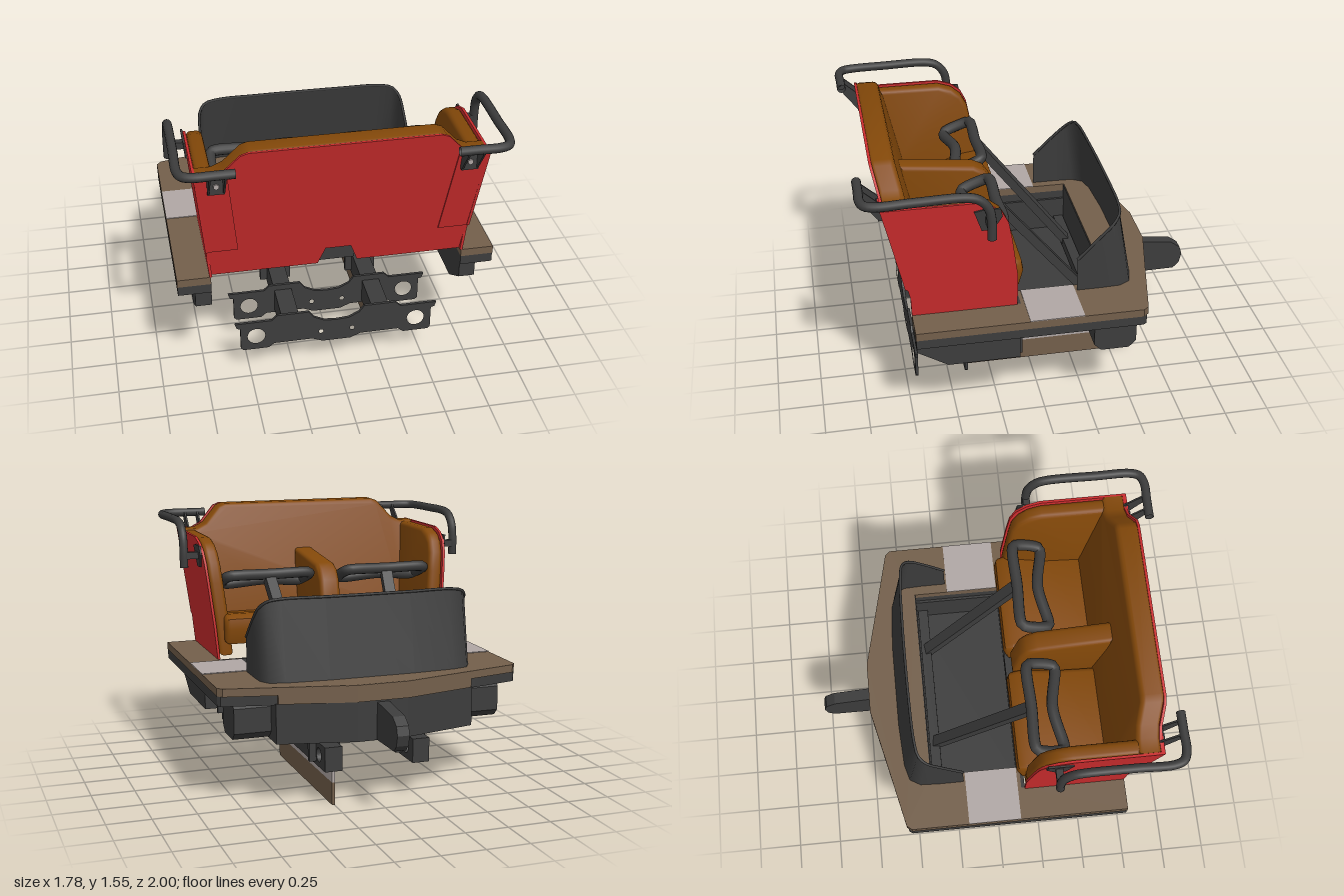
import * as THREE from 'three';
import { toCreasedNormals } from 'three/addons/utils/BufferGeometryUtils.js';

export function createModel() {
  const root = new THREE.Group();
  const mat = (name, color) => {
    const m = new THREE.MeshStandardMaterial({ color });
    m.name = name;
    return m;
  };
  const red = mat('red shell', 0xcb2c2d);
  const leather = mat('tan upholstery', 0x834809);
  const deckBrown = mat('brown deck', 0x735f4b);
  const dark = mat('dark metal', 0x3c3c3c);
  const grey = mat('light grey', 0xb0a7a5);
  const darkSheet = dark.clone();
  darkSheet.name = 'dark sheet metal';
  darkSheet.side = THREE.DoubleSide;

  const add = (name, geo, material, x = 0, y = 0, z = 0) => {
    const m = new THREE.Mesh(geo, material);
    m.name = name;
    m.position.set(x, y, z);
    root.add(m);
    return m;
  };
  const box = (name, material, x0, x1, y0, y1, z0, z1) =>
    add(name, new THREE.BoxGeometry(x1 - x0, y1 - y0, z1 - z0), material,
      (x0 + x1) / 2, (y0 + y1) / 2, (z0 + z1) / 2);

  // Extrusion centred on its depth, with optional rounded edges and round holes
  const extrude = (pts, depth, bevel = 0, holes = []) => {
    const s = new THREE.Shape(pts.map(p => new THREE.Vector2(...p)));
    for (const [x, y, r] of holes) s.holes.push(new THREE.Path().absarc(x, y, r, 0, Math.PI * 2, true));
    const g = new THREE.ExtrudeGeometry(s, {
      depth: depth - 2 * bevel, bevelEnabled: bevel > 0, bevelSize: bevel,
      bevelThickness: bevel, bevelOffset: -bevel, bevelSegments: 3, curveSegments: 20,
    });
    return g.translate(0, 0, bevel - depth / 2);
  };
  const sideways = (...a) => extrude(...a).rotateY(-Math.PI / 2); // points are (z, y)
  const plan = (pts, y0, y1) =>                                   // points are (x, z)
    extrude(pts, y1 - y0).rotateX(Math.PI / 2).translate(0, (y0 + y1) / 2, 0);
  const mirrored = half => [...half, ...half.slice().reverse().map(([x, y]) => [-x, y])];
  // Leans a geometry outward above the deck
  const lean = (g, kx, kz) => {
    const p = g.attributes.position;
    for (let i = 0; i < p.count; i++) {
      const h = p.getY(i) - 0.7;
      p.setXYZ(i, p.getX(i) + kx * h, p.getY(i), p.getZ(i) + kz * h);
    }
    return toCreasedNormals(g, 0.7);
  };
  const tube = (name, pts, r, closed = false) => {
    const c = new THREE.CatmullRomCurve3(pts.map(p => new THREE.Vector3(...p)), closed, 'centripetal');
    add(name, new THREE.TubeGeometry(c, 64, r, 12, closed), darkSheet);
  };
  const bar = (name, a, b, w, d) => {
    const A = new THREE.Vector3(...a), B = new THREE.Vector3(...b);
    const m = add(name, new THREE.BoxGeometry(w, d, A.distanceTo(B)), dark);
    m.position.copy(A).add(B).multiplyScalar(0.5);
    m.lookAt(B);
  };

  // Deck, open at the footwell and below the seat
  const opening = [[0.7, 0.73], [0.7, 0.13], [0.575, 0.13], [0.575, -0.39]];
  const deckHalf = [[0.15, -0.71], [0.86, -0.55], [0.885, -0.52], [0.885, 0.73], ...opening];
  add('deck', plan(mirrored(deckHalf), 0.655, 0.7), deckBrown);
  add('deckFrame', plan(mirrored([[0.6, -0.6], [0.87, -0.54], [0.883, -0.52], [0.883, 0.728], ...opening]), 0.6, 0.655), dark);
  add('deckNose', plan(mirrored([[0.15, -0.712], [0.57, -0.615], [0.57, -0.59]]), 0.605, 0.699), deckBrown);

  // Footwell tub and body beneath
  add('body', plan(mirrored([[0.15, -0.705], [0.58, -0.605], [0.58, 0.13], [0.56, 0.13], [0.56, -0.39]]), 0.38, 0.605), dark);
  box('footwellFloor', dark, -0.575, 0.575, 0.38, 0.4, -0.4, 0.13);
  box('footwellBackWall', dark, -0.72, 0.72, 0.38, 0.699, 0.125, 0.15);
  box('footwellFrontWall', dark, -0.575, 0.575, 0.4, 0.695, -0.395, -0.385);
  box('pedalBar', dark, -0.57, 0.57, 0.42, 0.48, -0.38, -0.32);
  add('couplingArm', sideways([[-0.6, 0.6], [-0.71, 0.595], [-0.93, 0.57], [-0.985, 0.53], [-1, 0.48], [-0.985, 0.42], [-0.95, 0.385], [-0.6, 0.38]], 0.07), dark);

  // Chassis cross plates
  const plateHalf = [[0, 0.3], [0.07, 0.305], [0.13, 0.335], [0.16, 0.375], [0.34, 0.375], [0.37, 0.345], [0.58, 0.345],
    [0.57, 0.315], [0.55, 0.31], [0.55, 0.175], [0.535, 0.16], [0.39, 0.16], [0.36, 0.185], [0.14, 0.185], [0.08, 0.16]];
  const plateHoles = [[-0.46, 0.25, 0.05], [0.46, 0.25, 0.05], [-0.09, 0.23, 0.013], [0.09, 0.23, 0.013]];
  for (const z of [0.705, 0.42]) add('chassisPlate', extrude(mirrored(plateHalf), 0.016, 0, plateHoles), dark, 0, 0, z);

  // Brake fin
  box('brakeFin', deckBrown, 0.247, 0.263, 0, 0.13, -0.61, 0.39);
  box('brakeFinTop', grey, 0.247, 0.263, 0.13, 0.2, -0.61, 0.39);

  // Rear shell panel with its notch, and the backrest
  const crest = [[0.775, 1.4], [0.69, 1.4], [0.63, 1.43], [0.54, 1.53], [0.5, 1.545]];
  add('rearShell', lean(extrude(mirrored([[0.07, 0.81], [0.11, 0.7], [0.705, 0.7], ...crest]), 0.015), 0, 0.225), red, 0, 0, 0.7);
  add('backrest', lean(extrude(mirrored([[0.08, 0.8], [0.69, 0.8], ...crest.map(([x, y]) => [x - 0.012, y + 0.003])]), 0.13, 0.025), 0, 0.225), leather, 0, 0, 0.638);
  box('seatSupport', dark, -0.1, 0.1, 0.7, 0.79, 0.11, 0.68);
  add('seatDivider', toCreasedNormals(sideways([[0.15, 0.79], [0.14, 0.95], [0.18, 1.13], [0.22, 1.19], [0.28, 1.22], [0.7, 1.26], [0.68, 0.79]], 0.125, 0.025), 0.7), leather);

  const sideProfile = [[0.15, 0.7], [0.73, 0.7], [0.735, 0.87], [0.76, 0.88], [0.87, 1.4], [0.38, 1.4],
    [0.3, 1.375], [0.24, 1.33], [0.205, 1.26], [0.185, 1.15], [0.15, 0.9]];
  const wingProfile = [[0.155, 0.72], [0.68, 0.72], [0.71, 0.88], [0.83, 1.395], [0.38, 1.395],
    [0.3, 1.37], [0.245, 1.325], [0.21, 1.26], [0.19, 1.15], [0.155, 0.9]];
  const cushion = [[0.13, 0.79], [0.105, 0.88], [0.115, 0.94], [0.16, 0.965], [0.25, 0.955], [0.4, 0.91], [0.64, 0.89], [0.66, 0.79]];

  for (const s of [1, -1]) {
    const span = (name, m, a, b, ...rest) => box(name, m, Math.min(s * a, s * b), Math.max(s * a, s * b), ...rest);
    // Side of the seat
    add('sideShell', lean(sideways(sideProfile, 0.015), s * 0.1, 0), red, s * 0.7);
    add('sideBolster', lean(sideways(wingProfile, 0.085, 0.025), s * 0.1, 0), leather, s * 0.65);
    add('seatCushion', toCreasedNormals(sideways(cushion, 0.6, 0.03), 0.7), leather, s * 0.365);
    const wrap = [[0.55, 0.88], [0.72, 0.88], [0.775, 1.4], [0.605, 1.4]].map(([x, y]) => [s * x, y]);
    add('shellWrap', lean(extrude(s > 0 ? wrap : wrap.reverse(), 0.008), 0, 0.225), red, 0, 0, 0.711);

    // Deck inlay, side pods
    span('deckInlay', grey, 0.575, 0.885, 0.7, 0.704, -0.19, 0.11);
    add('sidePod', sideways([[0.15, 0.61], [0.15, 0.405], [0.55, 0.405], [0.72, 0.51], [0.72, 0.61]], 0.09), dark, s * 0.745);
    add('hexPod', sideways([[-0.27, 0.43], [-0.27, 0.57], [-0.31, 0.605], [-0.47, 0.605], [-0.51, 0.57], [-0.51, 0.43], [-0.47, 0.39], [-0.31, 0.39]], 0.22), dark, s * 0.68);

    // Chassis beams and hangers
    add('chassisBeam', sideways([[-0.63, 0.2], [0.71, 0.2], [0.71, 0.34], [-0.63, 0.34]], 0.1, 0, [[-0.52, 0.27, 0.04]]), dark, s * 0.26);
    for (const z of [0.13, -0.46]) span('beamHanger', dark, 0.17, 0.35, 0.22, 0.39, z - 0.015, z + 0.015);

    // Lap bar
    bar('lapBarStrut', [s * 0.3, 0.45, -0.35], [s * 0.37, 1.15, 0.2], 0.065, 0.05);
    tube('lapBar', [[0.13, 1.18, 0.21], [0.37, 1.18, 0.21], [0.61, 1.18, 0.21], [0.625, 1.17, 0.23], [0.62, 1.12, 0.36],
      [0.6, 1.11, 0.37], [0.37, 1.13, 0.33], [0.14, 1.11, 0.37], [0.12, 1.12, 0.36], [0.115, 1.17, 0.23]]
      .map(([x, y, z]) => [s * x, y, z]), 0.032, true);

    // Grab rail with its brackets
    tube('grabRail', [[0.575, 1.48, 0.97], [0.68, 1.48, 0.97], [0.79, 1.48, 0.97], [0.84, 1.48, 0.95], [0.86, 1.48, 0.9],
      [0.86, 1.485, 0.7], [0.86, 1.485, 0.43], [0.86, 1.465, 0.37], [0.86, 1.41, 0.325], [0.86, 1.33, 0.31], [0.86, 1.23, 0.31]]
      .map(([x, y, z]) => [s * x, y, z]), 0.025);
    span('railStub', dark, 0.75, 0.86, 1.28, 1.32, 0.29, 0.33);
    add('railFoot', lean(sideways([[0.24, 1.31], [0.29, 1.23], [0.35, 1.23], [0.39, 1.35], [0.34, 1.36], [0.25, 1.36]], 0.012), s * 0.1, 0), dark, s * 0.712);
    span('railPlate', dark, 0.62, 0.71, 1.31, 1.4, 0.855, 0.878);
    const bolt = new THREE.CylinderGeometry(0.016, 0.016, 0.012, 6).rotateX(Math.PI / 2);
    add('railBolt', bolt, grey, s * 0.665, 1.36, 0.881);
    for (const x of [0.625, 0.705])
      add('railBracket', sideways([[0.85, 1.4], [0.86, 1.32], [0.88, 1.32], [0.99, 1.47], [0.95, 1.49]], 0.01), dark, s * x);
  }

  // Wraparound leg shield: lower and upper edges joined by a leaning wall
  const edge = [[0.63, -0.2, 0.63, -0.2, 0.9], [0.63, -0.34, 0.625, -0.32, 1.02], [0.625, -0.45, 0.615, -0.4, 1.095],
    [0.59, -0.51, 0.58, -0.44, 1.135], [0.5, -0.535, 0.5, -0.455, 1.15], [0.25, -0.55, 0.25, -0.465, 1.15]];
  const wall = [...edge, ...edge.slice().reverse().map(([a, b, c, d, h]) => [-a, b, -c, d, h])];
  const pos = [], idx = [];
  wall.forEach(([a, b, c, d, h], i) => {
    pos.push(a, 0.7, b, c, h, d);
    const k = 2 * i;
    if (i) idx.push(k - 2, k, k - 1, k - 1, k, k + 1);
  });
  const shield = new THREE.BufferGeometry();
  shield.setAttribute('position', new THREE.Float32BufferAttribute(pos, 3));
  shield.setIndex(idx);
  shield.computeVertexNormals();
  add('legShield', shield, darkSheet);
  const rim = new THREE.CatmullRomCurve3(wall.map(([, , x, z, y]) => new THREE.Vector3(x, y, z)));
  add('shieldRim', new THREE.TubeGeometry(rim, 60, 0.008, 6), dark);

  return root;
}
